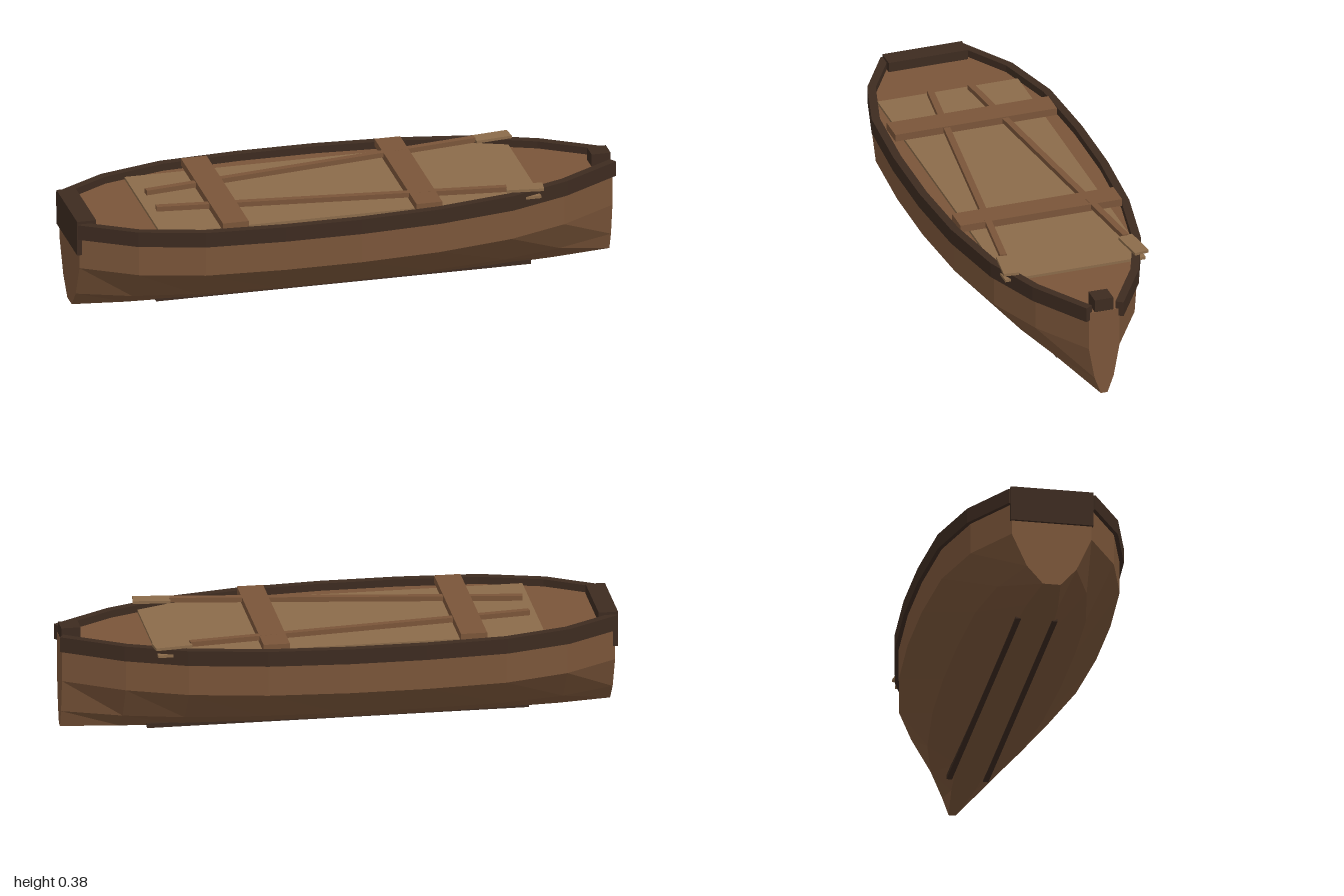
import * as THREE from 'three';

export function createModel() {
  const boat = new THREE.Group();
  const mat = (color) => new THREE.MeshStandardMaterial({ color, flatShading: true });
  const wood = mat(0x7a5539), dark = mat(0x3d2b20), plank = mat(0x8b6b4a);

  const box = (name, material, size, pos, yaw = 0, pitch = 0, parent = boat) => {
    const m = new THREE.Mesh(new THREE.BoxGeometry(...size), material);
    m.name = name;
    m.position.set(...pos);
    m.rotation.order = 'YZX';
    m.rotation.set(0, yaw, pitch);
    parent.add(m);
    return m;
  };

  // Hull stations: [x, half width], stern to bow
  const stations = [[-0.99, 0.145], [-0.8, 0.26], [-0.57, 0.323], [-0.28, 0.342], [0, 0.342],
    [0.29, 0.322], [0.57, 0.27], [0.785, 0.187], [0.995, 0.058]];
  // Half cross-section: [width ratio, y], keel to rim
  const half = [[0.22, 0.003], [0.62, 0.068], [1, 0.19], [1, 0.335]];
  const section = [...half, ...half.map(([w, y]) => [-w, y]).reverse()];

  // Solid hull: skin, deck and bottom from closed cross-sections, then both ends
  const n = section.length, pos = [], index = [];
  for (const [x, w] of stations) for (const [r, y] of section) pos.push(x, y, r * w);
  for (let i = 0; i < stations.length - 1; i++) {
    for (let j = 0; j < n; j++) {
      const a = i * n + j, b = i * n + (j + 1) % n;
      index.push(a, a + n, b, b, a + n, b + n);
    }
  }
  const last = (stations.length - 1) * n;
  for (let j = 1; j < n - 1; j++) {
    index.push(0, j, j + 1);
    index.push(last, last + j + 1, last + j);
  }
  const geo = new THREE.BufferGeometry();
  geo.setAttribute('position', new THREE.Float32BufferAttribute(pos, 3));
  geo.setIndex(index);
  const flat = geo.toNonIndexed();
  flat.computeVertexNormals();
  const hull = new THREE.Mesh(flat, wood);
  hull.name = 'hull';
  boat.add(hull);

  // Gunwale: one beam per hull segment on each side
  const gunwale = new THREE.Group();
  gunwale.name = 'gunwale';
  boat.add(gunwale);
  for (const s of [1, -1]) {
    for (let i = 0; i < stations.length - 1; i++) {
      const [x0, w0] = stations[i], [x1, w1] = stations[i + 1];
      const dx = x1 - x0, dz = s * (w1 - w0);
      box('gunwaleBeam', dark, [Math.hypot(dx, dz) + 0.004, 0.056, 0.03],
        [(x0 + x1) / 2, 0.334, s * (w0 + w1) / 2], -Math.atan2(dz, dx), 0, gunwale);
    }
  }

  // Stern board and bow post
  box('sternBoard', dark, [0.07, 0.13, 0.3], [-0.965, 0.307, 0]);
  box('bowPost', dark, [0.07, 0.073, 0.07], [0.959, 0.346, 0]);

  // Floor and seats
  box('floor', plank, [1.4, 0.01, 0.53], [-0.02, 0.34, 0]);
  for (const x of [-0.455, 0.258]) box('seat', wood, [0.095, 0.027, 0.61], [x, 0.3645, 0]);

  // Oars and bottom runners, mirrored
  for (const s of [1, -1]) {
    const oar = new THREE.Group();
    oar.name = 'oar';
    boat.add(oar);
    const yaw = -s * Math.atan2(0.155, 1.25);
    box('oarShaft', wood, [1.26, 0.018, 0.024], [-0.065, 0.367, s * 0.153], yaw, 0.007, oar);
    box('oarBlade', plank, [0.135, 0.01, 0.055], [0.625, 0.37, s * 0.238], yaw, 0, oar);
    box('bottomRunner', dark, [1.38, 0.016, 0.02], [0, 0.008, s * 0.066]);
  }
  return boat;
}
